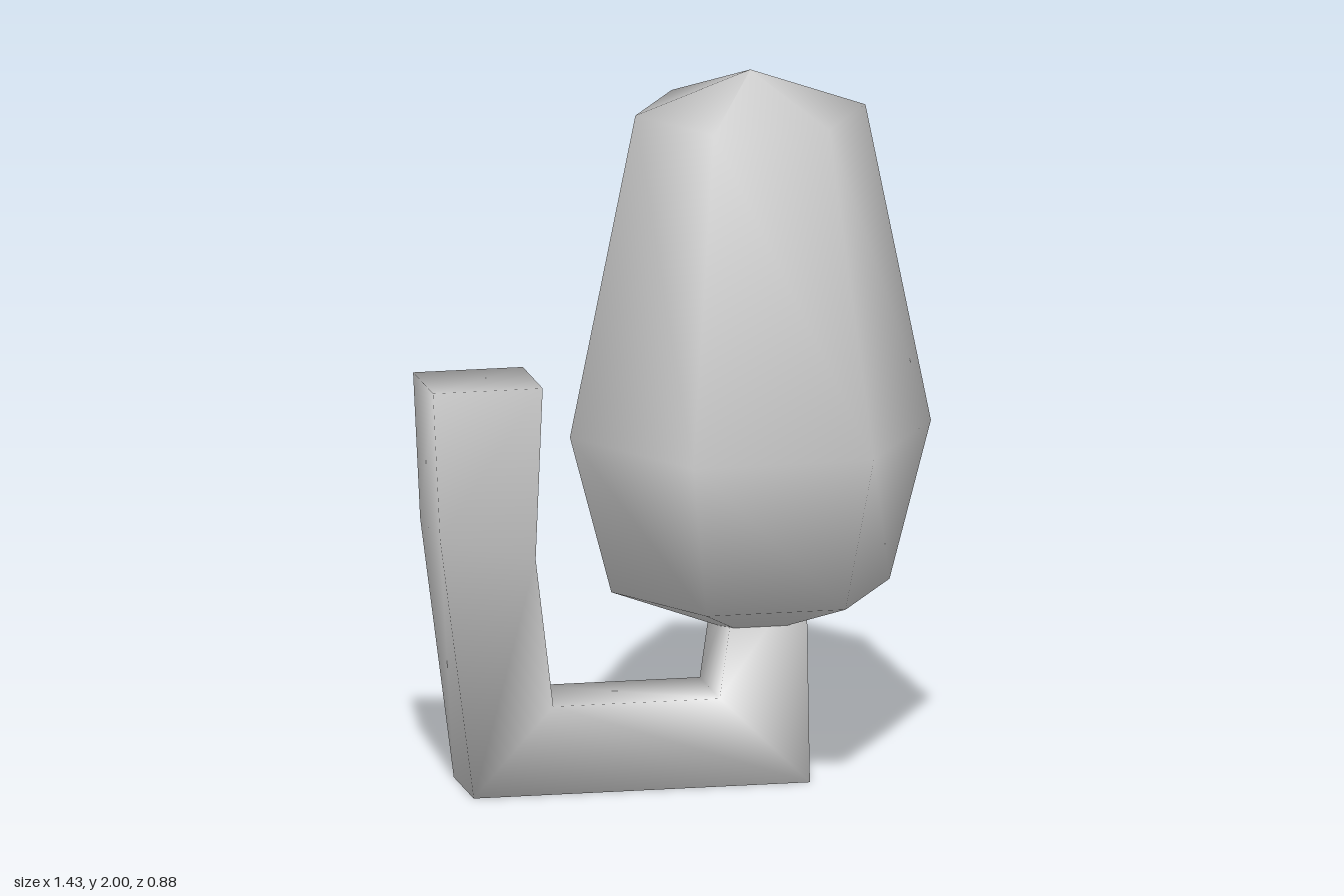
import * as THREE from 'three';

const grey = () => new THREE.MeshStandardMaterial({ color: 0xcccccc });

// Smooth loft of a square section through [outerX, outerY, innerX, innerY] stations
function loftBar(stations, halfDepth) {
  const positions = [], index = [];
  for (const [ox, oy, ix, iy] of stations) {
    positions.push(ox, oy, halfDepth, ix, iy, halfDepth, ix, iy, -halfDepth, ox, oy, -halfDepth);
  }
  for (let s = 0; s < stations.length - 1; s++) {
    for (let i = 0; i < 4; i++) {
      const a = s * 4 + i, b = s * 4 + (i + 1) % 4;
      index.push(a, a + 4, b, b, a + 4, b + 4);
    }
  }
  // End caps
  const e = (stations.length - 1) * 4;
  index.push(0, 1, 2, 0, 2, 3, e, e + 2, e + 1, e, e + 3, e + 2);
  const geometry = new THREE.BufferGeometry();
  geometry.setAttribute('position', new THREE.Float32BufferAttribute(positions, 3));
  geometry.setIndex(index);
  geometry.computeVertexNormals();
  return geometry;
}

export function createModel() {
  const model = new THREE.Group();

  // Six-sided bulb with pointed ends
  const profile = [[0, 0.393], [0.393, 0.535], [0.51, 0.98], [0.325, 1.885], [0, 2]]
    .map(([r, y]) => new THREE.Vector2(r, y));
  const bulb = new THREE.Mesh(new THREE.LatheGeometry(profile, 6, Math.PI / 2), grey());
  bulb.name = 'bulb';
  bulb.position.x = 0.205;
  model.add(bulb);

  // Square bar: upright arm, base, and short stem running into the bulb
  const arm = new THREE.Mesh(loftBar([
    [-0.72, 1.155, -0.41, 1.155],
    [-0.70, 0.74, -0.43, 0.67],
    [-0.605, 0, -0.38, 0.25],
    [0.345, 0, 0.09, 0.25],
    [0.335, 0.6, 0.14, 0.6],
  ], 0.132), grey());
  arm.name = 'bentArm';
  model.add(arm);

  return model;
}
